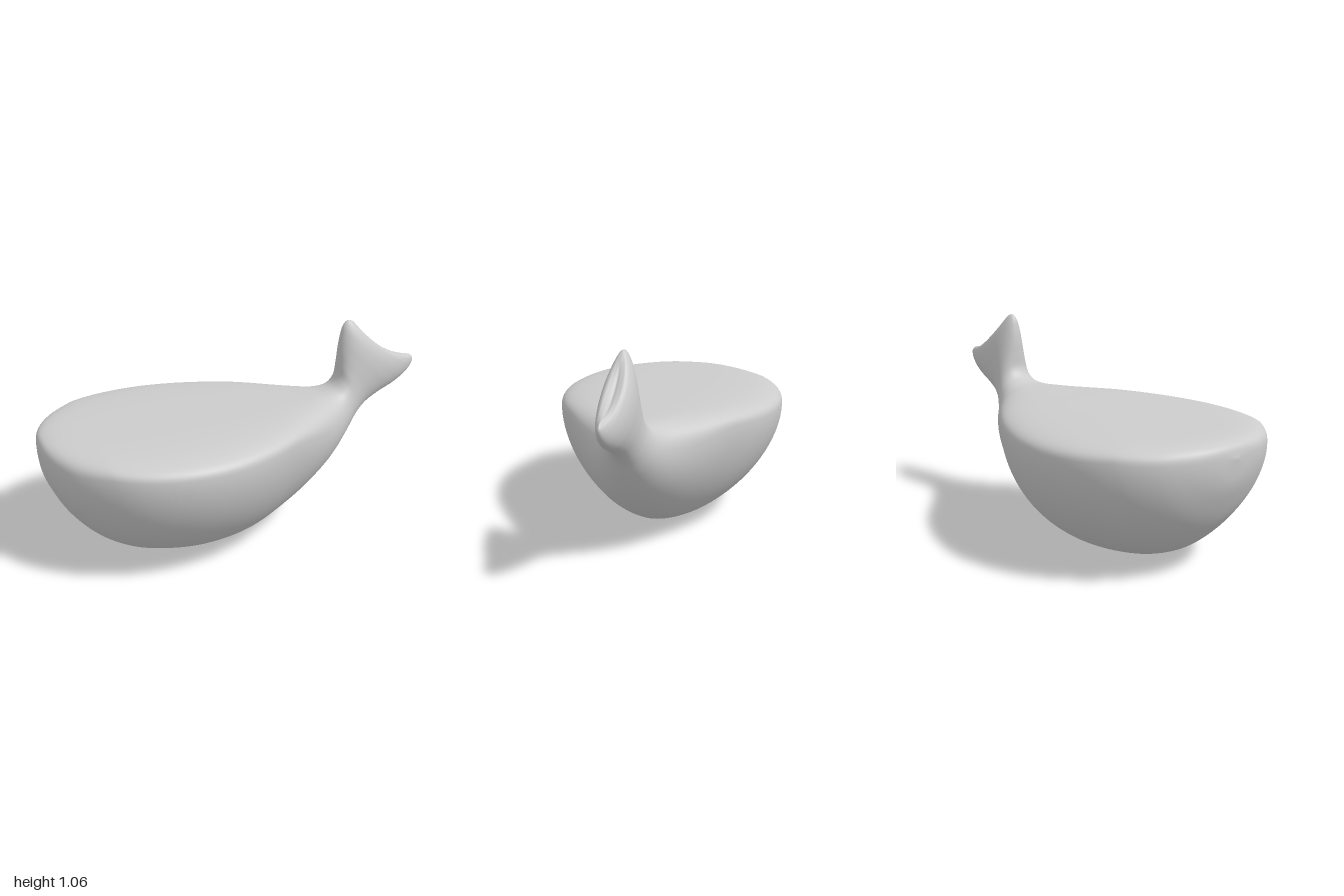
import * as THREE from 'three';
import { mergeVertices } from 'three/addons/utils/BufferGeometryUtils.js';

const { smoothstep, lerp, clamp } = THREE.MathUtils;

// Cross-sections from nose to fluke: [topX, topY, bottomX, bottomY, halfWidth]
const STATIONS = [
  [-1, 0.595, -1, 0.595, 0],
  [-0.985, 0.645, -0.985, 0.48, 0.128],
  [-0.95, 0.664, -0.95, 0.39, 0.235],
  [-0.88, 0.674, -0.88, 0.27, 0.355],
  [-0.75, 0.679, -0.75, 0.135, 0.48],
  [-0.6, 0.683, -0.6, 0.055, 0.555],
  [-0.4, 0.687, -0.4, 0.013, 0.59],
  [-0.2, 0.69, -0.2, 0.006, 0.57],
  [0, 0.693, 0, 0.038, 0.5],
  [0.2, 0.695, 0.2, 0.125, 0.385],
  [0.38, 0.699, 0.38, 0.25, 0.265],
  [0.47, 0.708, 0.5, 0.36, 0.19],
  [0.525, 0.735, 0.6, 0.48, 0.13],
  [0.55, 0.78, 0.66, 0.56, 0.101],
  [0.555, 0.85, 0.72, 0.617, 0.088],
  [0.558, 0.92, 0.8, 0.663, 0.083],
  [0.567, 0.99, 0.88, 0.7, 0.078],
  [0.58, 1.04, 0.95, 0.745, 0.066],
  [0.6, 1.063, 0.99, 0.79, 0.05],
  [0.625, 1.062, 0.999, 0.82, 0.035],
  [0.65, 1.04, 0.985, 0.84, 0.018],
  [0.67, 1.015, 0.96, 0.85, 0],
];

const curveOf = (pick) =>
  new THREE.CatmullRomCurve3(STATIONS.map((s) => new THREE.Vector3(...pick(s))));

function loftGeometry(steps, sides) {
  const topCurve = curveOf(([x, y, , , width]) => [x, y, width]);
  const bottomCurve = curveOf(([, , x, y]) => [x, y, 0]);
  const positions = [];
  const index = [];

  for (let i = 0; i <= steps; i++) {
    const u = i / steps;
    const t = topCurve.getPoint(u);
    const b = bottomCurve.getPoint(u);
    const halfWidth = Math.max(0, t.z);

    // deck: 1 where the back is flat, 0 where the section is a plain ellipse
    const nose = 0.25 + 0.75 * Math.sqrt(clamp((b.x + 1) / 0.25, 0, 1));
    const deck = nose * (1 - smoothstep(b.x, 0.1, 0.68));
    const waist = 0.5 + 0.33 * deck;
    const topPower = 2 / (2 + 1.5 * deck);
    const keelPower = 2 / lerp(2, 1.78, deck);
    const notch = 0.04 * smoothstep(u, 0.73, 0.95);

    for (let j = 0; j < sides; j++) {
      const angle = (j / sides) * Math.PI * 2;
      const c = Math.cos(angle);
      const s = Math.sin(angle);
      const power = s > 0 ? topPower : keelPower;
      const up = Math.sign(s) * Math.abs(s) ** power;
      const z = halfWidth * Math.sign(c) * Math.abs(c) ** power;
      const f = waist + up * (up > 0 ? 1 - waist : waist);
      // bow the fluke's trailing edge inwards
      const bow = notch * (1 - (2 * f - 1) ** 2);
      positions.push(lerp(b.x, t.x, f) - 0.5 * bow, lerp(b.y, t.y, f) - 0.87 * bow, z);

      if (i < steps) {
        const p = i * sides + j;
        const q = i * sides + ((j + 1) % sides);
        index.push(p, p + sides, q, p + sides, q + sides, q);
      }
    }
  }

  const geometry = new THREE.BufferGeometry();
  geometry.setAttribute('position', new THREE.Float32BufferAttribute(positions, 3));
  geometry.setIndex(index);
  const welded = mergeVertices(geometry, 1e-5);
  welded.computeVertexNormals();
  return welded;
}

export function createModel() {
  const model = new THREE.Group();
  model.name = 'whale';

  // Flat-topped body flowing into the upright tail fluke
  const body = new THREE.Mesh(
    loftGeometry(168, 96),
    new THREE.MeshStandardMaterial({ color: 0xcccccc })
  );
  body.name = 'bodyAndTail';
  model.add(body);

  return model;
}
